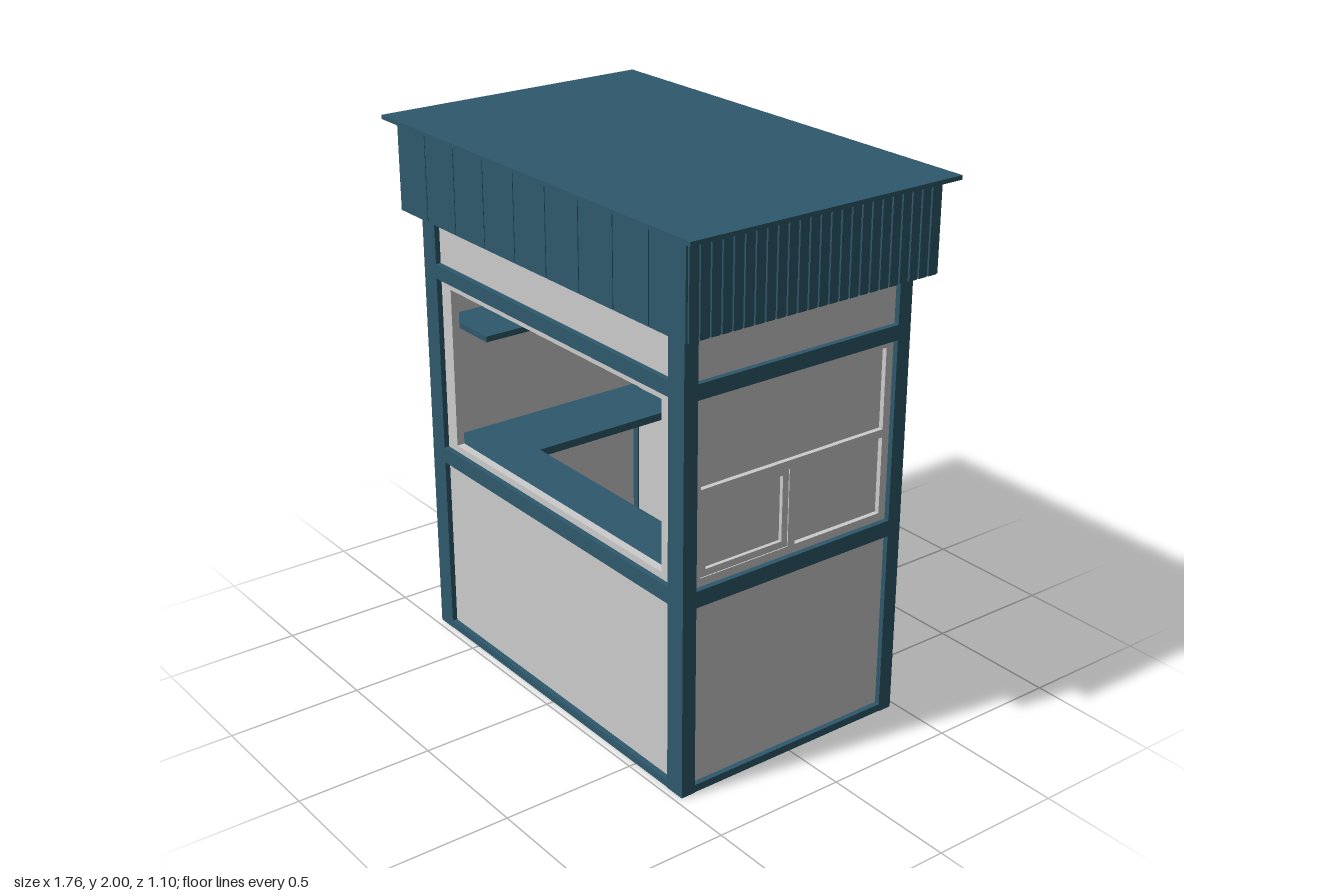
import * as THREE from 'three';

const blue = new THREE.MeshStandardMaterial({ name: 'petrol blue paint', color: 0x2e596c });
const grey = new THREE.MeshStandardMaterial({ name: 'light grey panel', color: 0xcccccc });

// Box given by its limits on each axis
function box(parent, name, mat, x0, x1, y0, y1, z0, z1) {
  const mesh = new THREE.Mesh(new THREE.BoxGeometry(x1 - x0, y1 - y0, z1 - z0), mat);
  mesh.position.set((x0 + x1) / 2, (y0 + y1) / 2, (z0 + z1) / 2);
  mesh.name = name;
  parent.add(mesh);
  return mesh;
}

// Upright plate with rectangular holes; rectangles are [u0, u1, y0, y1]
function plate(parent, name, mat, rect, holes, depth) {
  const outline = (Type, [a, b, c, d]) => {
    const p = new Type();
    p.moveTo(a, c).lineTo(b, c).lineTo(b, d).lineTo(a, d).closePath();
    return p;
  };
  const shape = outline(THREE.Shape, rect);
  holes.forEach((h) => shape.holes.push(outline(THREE.Path, h)));
  const mesh = new THREE.Mesh(new THREE.ExtrudeGeometry(shape, { depth, bevelEnabled: false }), mat);
  mesh.name = name;
  parent.add(mesh);
  return mesh;
}

function group(parent, name) {
  const g = new THREE.Group();
  g.name = name;
  parent.add(g);
  return g;
}

export function createModel() {
  const model = new THREE.Group();
  model.name = 'kiosk';

  // Blue frame: corner posts and horizontal rails
  const frame = group(model, 'frame');
  const rails = [[0.002, 0.03], [0.705, 0.765], [1.43, 1.485]];
  for (const s of [-1, 1]) {
    const x0 = s > 0 ? 0.68 : -0.76, x1 = s > 0 ? 0.76 : -0.68;
    for (const [z0, z1] of [[0.42, 0.475], [-0.475, -0.42]]) {
      box(frame, 'cornerPost', blue, x0, x1, 0, 1.7, z0, z1);
    }
    for (const [y0, y1] of rails) {
      box(frame, 'sideRail', blue, s > 0 ? 0.725 : -0.76, s > 0 ? 0.76 : -0.725, y0, y1, -0.42, 0.42);
    }
    // Back posts beside the door, showing on both faces of the wall
    box(frame, 'doorPost', blue, s * 0.395 - 0.02, s * 0.395 + 0.02, 0.03, 1.43, -0.483, -0.415);
    box(frame, 'backMiddleRail', blue, s > 0 ? 0.415 : -0.68, s > 0 ? 0.68 : -0.415, 0.705, 0.765, -0.475, -0.44);
  }
  for (const [y0, y1] of rails) box(frame, 'frontRail', blue, -0.68, 0.68, y0, y1, 0.44, 0.475);
  for (const i of [0, 2]) box(frame, 'backRail', blue, -0.68, 0.68, ...rails[i], -0.475, -0.44);

  // Grey walls, set back behind the frame
  const walls = group(model, 'walls');
  const top = 1.7;
  plate(walls, 'frontWall', grey, [-0.71, 0.71, 0.01, top], [[-0.62, 0.62, 0.79, 1.4]], 0.03)
    .position.z = 0.425;
  box(walls, 'rightWall', grey, -0.74, -0.71, 0.01, top, -0.455, 0.455);
  const doorHole = [-0.375, 0.375, 0.03, 1.43];
  plate(walls, 'backWall', grey, [-0.71, 0.71, 0.01, top], [doorHole], 0.03).position.z = -0.455;
  box(walls, 'floor', grey, -0.74, 0.74, 0, 0.02, -0.46, 0.46);
  box(walls, 'ceiling', grey, -0.71, 0.71, 1.64, 1.66, -0.43, 0.43);

  // Left wall with a wide upper window and two lower ones
  const leftWall = group(walls, 'leftWall');
  leftWall.rotation.y = Math.PI / 2;
  leftWall.position.x = 0.71;
  const windows = [[-0.39, 0.39, 1.11, 1.405], [-0.39, -0.02, 0.795, 1.08], [0.01, 0.39, 0.795, 1.08]];
  plate(leftWall, 'windowWall', grey, [-0.455, 0.455, 0.01, top], windows, 0.03);
  windows.forEach(([a, b, c, d]) => box(leftWall, 'windowPane', grey, a, b, c, d, 0.004, 0.012));
  plate(leftWall, 'windowSash', grey, windows[1], [[-0.365, -0.045, 0.82, 1.06]], 0.026);

  // Back door with a recessed panel and a knob on each face
  const door = group(model, 'door');
  plate(door, 'doorFrame', grey, doorHole, [[-0.305, 0.283, 0.09, 1.365]], 0.032).position.z = -0.457;
  box(door, 'doorPanel', grey, -0.305, 0.283, 0.09, 1.365, -0.44, -0.43);
  const knobProfile = [[0, 0], [0.009, 0], [0.009, 0.035], [0.018, 0.048], [0.018, 0.056], [0, 0.06]]
    .map(([r, y]) => new THREE.Vector2(r, y));
  for (const s of [-1, 1]) {
    const knob = new THREE.Mesh(new THREE.LatheGeometry(knobProfile, 20), grey);
    knob.name = 'doorKnob';
    knob.rotation.x = s * Math.PI / 2;
    knob.position.set(-0.34, 0.73, s < 0 ? -0.457 : -0.425);
    door.add(knob);
  }

  // L-shaped counter and a small shelf inside
  const inside = group(model, 'interior');
  box(inside, 'frontCounter', blue, -0.41, 0.71, 0.757, 0.787, 0.23, 0.426);
  box(inside, 'sideCounter', blue, -0.71, -0.41, 0.757, 0.787, -0.415, 0.426);
  box(inside, 'shelf', blue, -0.71, -0.44, 1.248, 1.27, 0.2, 0.425);

  // Roof slab over a boarded fascia
  const roof = group(model, 'roof');
  box(roof, 'roofSlab', blue, -0.88, 0.88, 1.985, 2, -0.55, 0.55);
  for (const s of [-1, 1]) {
    box(roof, 'longFascia', blue, -0.82, 0.82, 1.66, 1.985, s * 0.485 - 0.03, s * 0.485 + 0.03);
    box(roof, 'shortFascia', blue, s * 0.765 - 0.055, s * 0.765 + 0.055, 1.66, 1.985, -0.455, 0.455);
    // Wide boards on the long sides
    const boards = 9, step = 1.65 / boards;
    for (let i = 0; i < boards; i++) {
      const x = -0.825 + step * i;
      box(roof, 'fasciaBoard', blue, x + 0.002, x + step - 0.002, 1.66, 1.985, s * 0.517 - 0.004, s * 0.517 + 0.004);
    }
    // Narrow ribs on the short sides
    const ribs = 24, pitch = 1.03 / ribs;
    for (let i = 0; i < ribs; i++) {
      const z = -0.515 + pitch * i;
      box(roof, 'fasciaRib', blue, s * 0.821 - 0.006, s * 0.821 + 0.006, 1.66, 1.985, z + 0.004, z + pitch - 0.004);
    }
  }
  return model;
}
